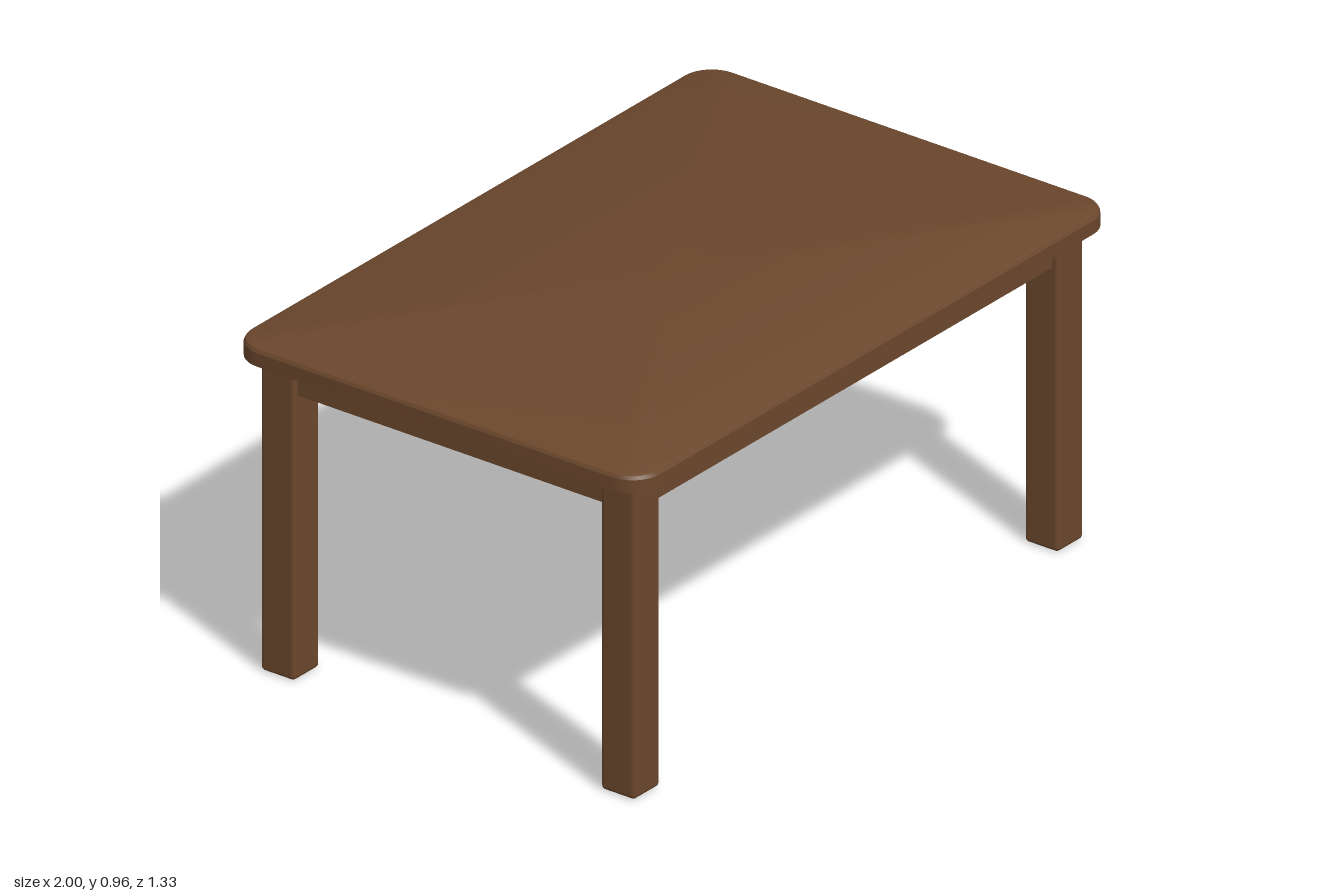
import * as THREE from 'three';
import { toCreasedNormals } from 'three/addons/utils/BufferGeometryUtils.js';
import { RoundedBoxGeometry } from 'three/addons/geometries/RoundedBoxGeometry.js';

const HALF_X = 1, HALF_Z = 0.665, BOTTOM = 0.907, TOP = 0.96;

// Rounded rectangle outline at a given inset and height
function outline(inset, y, radius = 0.09, steps = 8) {
  const points = [];
  const corners = [[1, 1], [-1, 1], [-1, -1], [1, -1]];
  corners.forEach(([sx, sz], c) => {
    for (let i = 0; i <= steps; i++) {
      const a = (c + i / steps) * Math.PI / 2;
      points.push(new THREE.Vector3(
        sx * (HALF_X - radius) + Math.cos(a) * (radius - inset), y,
        sz * (HALF_Z - radius) + Math.sin(a) * (radius - inset)));
    }
  });
  return points;
}

// Slab with a square lower edge and a softened upper edge
function tabletopGeometry() {
  const rings = [outline(0, BOTTOM), outline(0, TOP - 0.014),
    outline(0.005, TOP - 0.005), outline(0.016, TOP)];
  const pos = [];
  const tri = (...vs) => vs.forEach(v => pos.push(v.x, v.y, v.z));
  const n = rings[0].length;
  const low = new THREE.Vector3(0, BOTTOM, 0), high = new THREE.Vector3(0, TOP, 0);
  for (let i = 0; i < n; i++) {
    const j = (i + 1) % n;
    for (let r = 0; r < rings.length - 1; r++) {
      const a = rings[r], b = rings[r + 1];
      tri(a[i], b[i], b[j]);
      tri(a[i], b[j], a[j]);
    }
    tri(low, rings[0][i], rings[0][j]);
    tri(high, rings[3][j], rings[3][i]);
  }
  const geo = new THREE.BufferGeometry();
  geo.setAttribute('position', new THREE.Float32BufferAttribute(pos, 3));
  return toCreasedNormals(geo, 0.5);
}

export function createModel() {
  const group = new THREE.Group();
  const wood = new THREE.MeshStandardMaterial({ color: 0x6b472c });
  wood.name = 'brown wood';

  const add = (name, geometry, x = 0, y = 0, z = 0) => {
    const mesh = new THREE.Mesh(geometry, wood);
    mesh.name = name;
    mesh.position.set(x, y, z);
    group.add(mesh);
  };

  add('tabletop', tabletopGeometry());

  // Four square legs with softened edges
  const legHeight = 0.915;
  const leg = new RoundedBoxGeometry(0.11, legHeight, 0.11, 2, 0.012);
  for (const sz of [1, -1]) {
    for (const sx of [1, -1]) {
      add(`${sz > 0 ? 'front' : 'back'}${sx > 0 ? 'Left' : 'Right'}Leg`, leg,
        sx * 0.89, legHeight / 2, sz * 0.553);
    }
  }

  // Apron rails joining the legs, set slightly in from their outer faces
  const longRail = new THREE.BoxGeometry(1.7, 0.09, 0.05);
  const shortRail = new THREE.BoxGeometry(0.05, 0.09, 1.03);
  for (const s of [1, -1]) {
    add(s > 0 ? 'frontApron' : 'backApron', longRail, 0, 0.864, s * 0.566);
    add(s > 0 ? 'leftApron' : 'rightApron', shortRail, s * 0.903, 0.864, 0);
  }
  return group;
}
